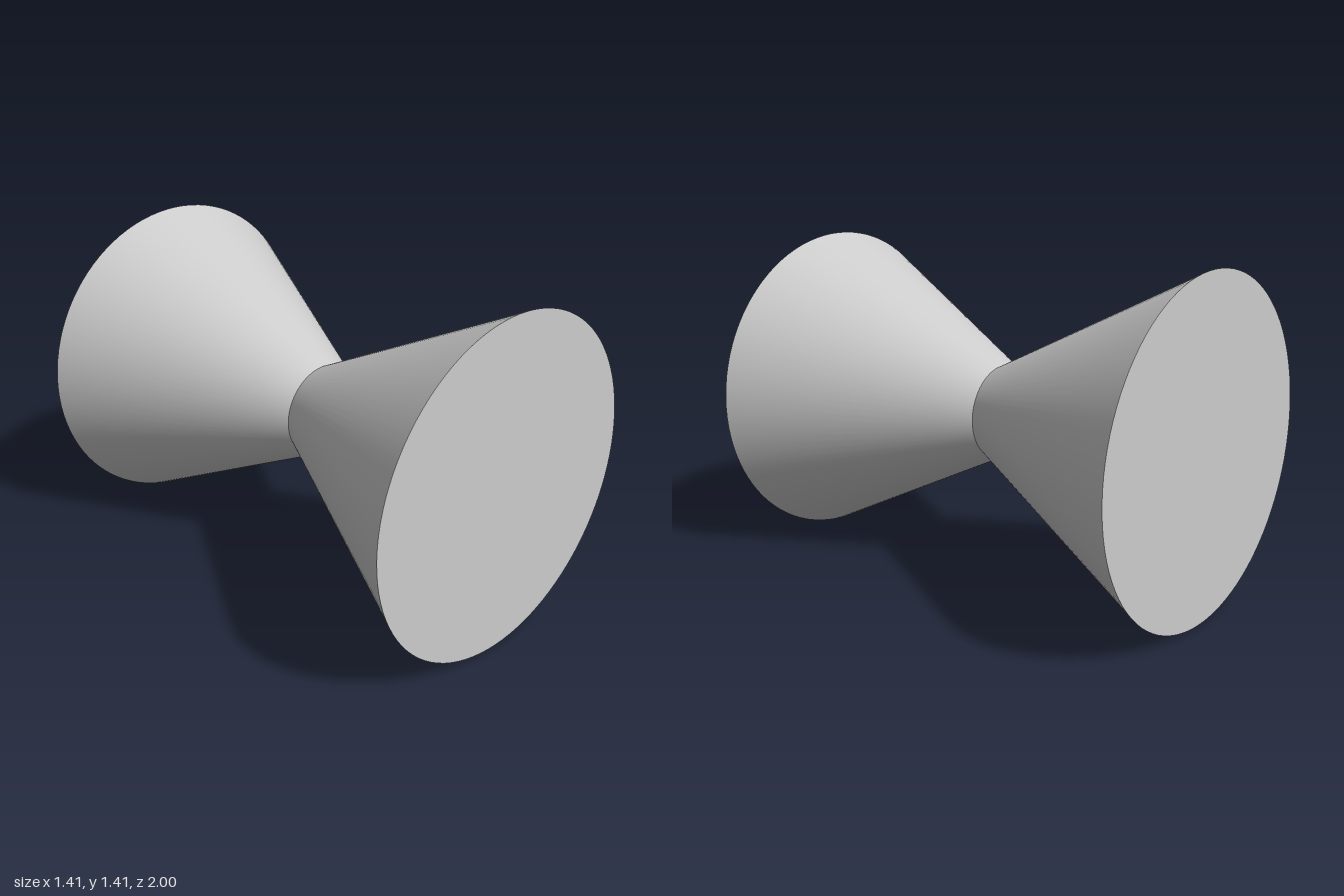
import * as THREE from 'three';

const END_RADIUS = 0.705, WAIST_RADIUS = 0.205, LENGTH = 1, SEGMENTS = 96;

// One flared half: an open cone frustum closed by a flat disc, facing +z
function createHalf(name, material) {
  const half = new THREE.Group();
  half.name = name;

  const flare = new THREE.Mesh(
    new THREE.CylinderGeometry(END_RADIUS, WAIST_RADIUS, LENGTH, SEGMENTS, 1, true)
      .rotateX(Math.PI / 2)
      .translate(0, 0, LENGTH / 2),
    material
  );
  flare.name = 'flare';

  const endDisc = new THREE.Mesh(
    new THREE.CircleGeometry(END_RADIUS, SEGMENTS).translate(0, 0, LENGTH),
    material
  );
  endDisc.name = 'endDisc';

  half.add(flare, endDisc);
  return half;
}

export function createModel() {
  const model = new THREE.Group();
  model.name = 'hourglassSpool';
  const material = new THREE.MeshStandardMaterial({ color: 0xcccccc });

  // Two equal halves meet at the narrow waist
  const front = createHalf('frontHalf', material);
  const back = createHalf('backHalf', material);
  back.rotation.y = Math.PI;
  model.add(front, back);

  // Rest the rims on the ground
  for (const half of [front, back]) half.position.y = END_RADIUS;
  return model;
}
